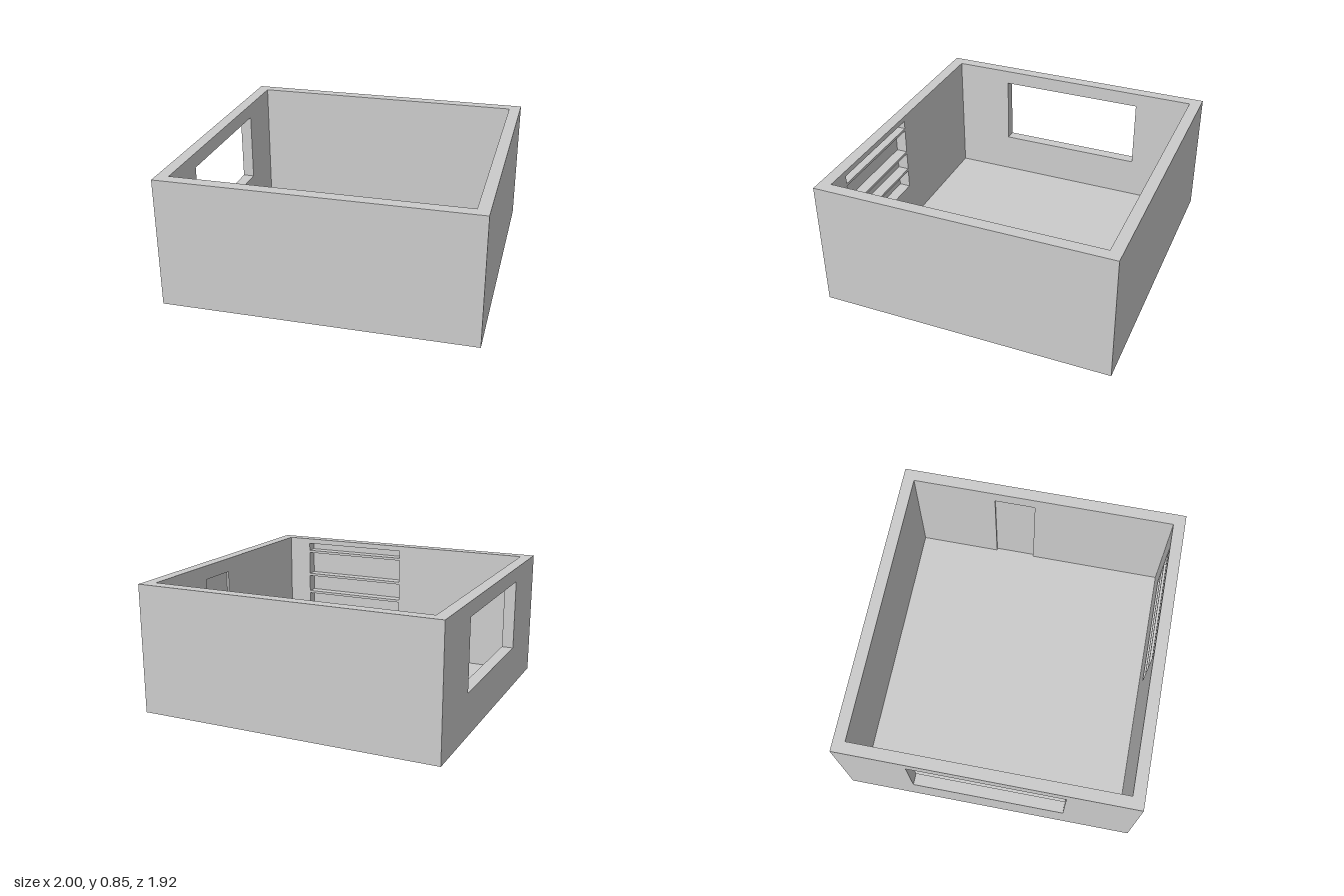
import * as THREE from 'three';

const W = 1, D = 0.96, H = 0.846;   // half width, half depth, wall height
const T = 0.077;                    // wall thickness
const FLOOR = 0.005;
const SKIN = 0.003;                 // thin panel behind the shelf niche
const DOOR_DEPTH = 0.015;

const material = new THREE.MeshStandardMaterial({ color: 0xcccccc, flatShading: true });

function add(group, name, geometry, x = 0, y = 0, z = 0) {
  const mesh = new THREE.Mesh(geometry, material);
  mesh.name = name;
  mesh.position.set(x, y, z);
  group.add(mesh);
  return mesh;
}

const box = (w, h, d) => new THREE.BoxGeometry(w, h, d);

function outline(points, Type = THREE.Shape) {
  return new Type(points.map(([u, v]) => new THREE.Vector2(u, v)));
}

const rect = (u0, v0, u1, v1) => [[u0, v0], [u1, v0], [u1, v1], [u0, v1]];

// Upright slab, extruded along +z, with optional rectangular openings
function slab(points, depth, holes = []) {
  const shape = outline(points);
  holes.forEach((hole) => shape.holes.push(outline(hole, THREE.Path)));
  return new THREE.ExtrudeGeometry(shape, { depth, bevelEnabled: false });
}

// Side slab: outline runs along z, thickness grows towards -x
const sideSlab = (...args) => slab(...args).rotateY(-Math.PI / 2);

export function createModel() {
  const room = new THREE.Group();
  room.name = 'room';
  const wallH = H - FLOOR;
  const inner = D - T;

  add(room, 'floor', box(2 * W, FLOOR, 2 * D), 0, FLOOR / 2, 0);
  add(room, 'backWall', box(2 * W, wallH, T), 0, FLOOR + wallH / 2, -D + T / 2);

  // Wall with the window opening
  add(room, 'windowWall',
    sideSlab(rect(-inner, FLOOR, inner, H), T, [rect(-0.5, 0.284, 0.5, 0.75)]), -W + T);

  // Wall with a shallow doorway cut in its inner face
  const doorWall = new THREE.Group();
  doorWall.name = 'doorWall';
  room.add(doorWall);
  const doorOutline = [
    [-inner, FLOOR], [-0.327, FLOOR], [-0.327, 0.752], [-0.05, 0.752],
    [-0.05, FLOOR], [inner, FLOOR], [inner, H], [-inner, H],
  ];
  add(doorWall, 'wallBody', sideSlab(rect(-inner, FLOOR, inner, H), T - DOOR_DEPTH), W);
  add(doorWall, 'doorSurround', sideSlab(doorOutline, DOOR_DEPTH), W - T + DOOR_DEPTH);

  // Front wall with a shelf niche facing the room
  const frontWall = new THREE.Group();
  frontWall.name = 'frontWall';
  room.add(frontWall);
  const niche = { x0: 0, x1: 0.76, y0: 0.286, y1: 0.81 };
  const nicheDepth = T - SKIN;
  add(frontWall, 'outerPanel', box(2 * W, wallH, SKIN), 0, FLOOR + wallH / 2, D - SKIN / 2);
  add(frontWall, 'wallWithNiche',
    slab(rect(-W, FLOOR, W, H), nicheDepth, [rect(niche.x0, niche.y0, niche.x1, niche.y1)]),
    0, 0, inner);

  // Shelves in the niche
  const shelfT = 0.018;
  [0.43, 0.57, 0.755].forEach((top) => {
    add(frontWall, 'shelf', box(niche.x1 - niche.x0, shelfT, nicheDepth),
      (niche.x0 + niche.x1) / 2, top - shelfT / 2, inner + nicheDepth / 2);
  });

  return room;
}
